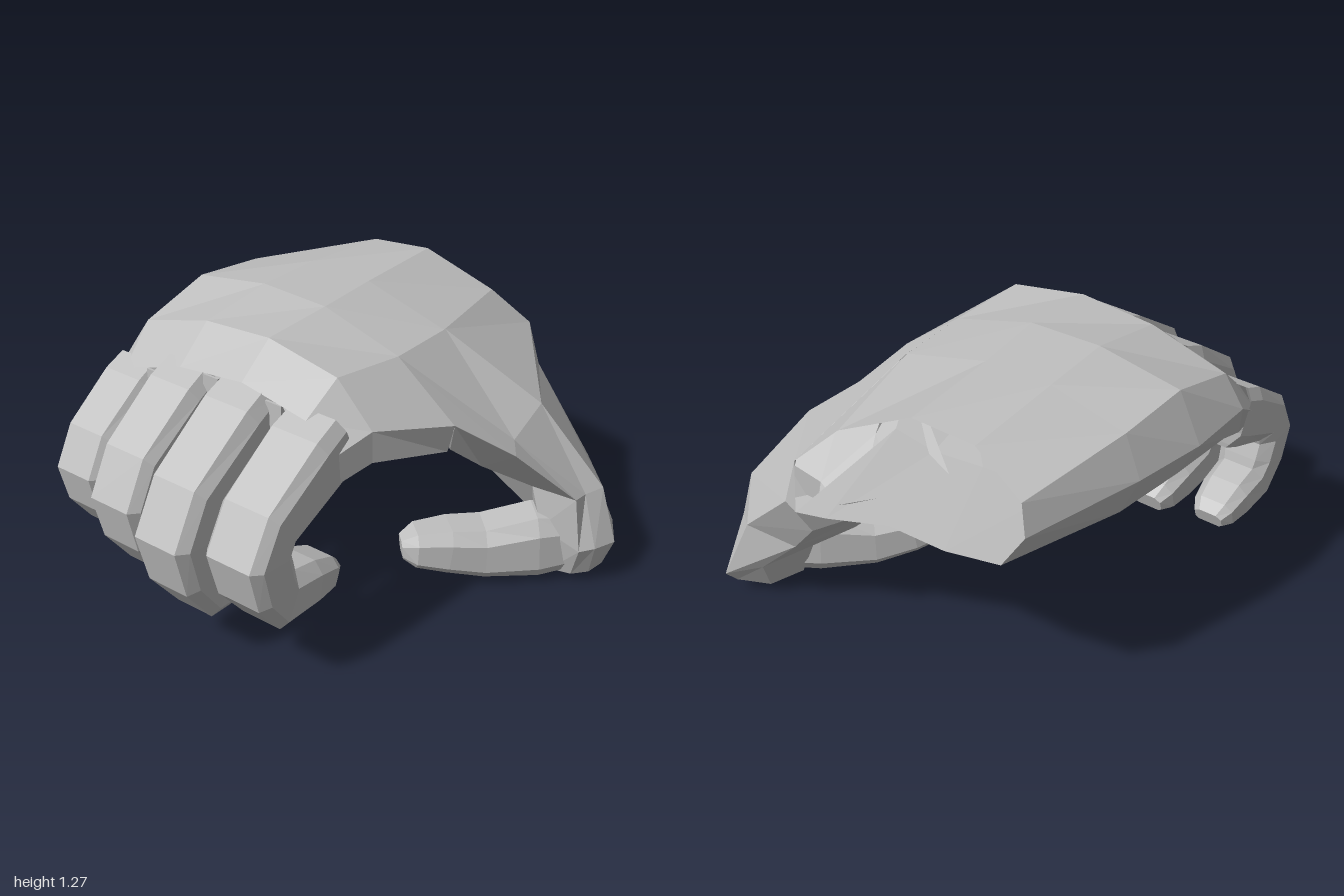
import * as THREE from 'three';

const skin = new THREE.MeshStandardMaterial({ color: 0xbfbfbf, flatShading: true, side: THREE.DoubleSide });
skin.name = 'plain grey';

// Skin a list of closed point loops; isOpen(i, j) leaves faces out, capEnd closes the last loop
function loft(name, rings, capEnd, isOpen = () => false) {
  const pos = [];
  const tri = (a, b, c) => pos.push(...a, ...b, ...c);
  const n = rings[0].length;
  for (let i = 0; i < rings.length - 1; i++) {
    for (let j = 0; j < n; j++) {
      if (isOpen(i, j)) continue;
      const k = (j + 1) % n;
      const a = rings[i], b = rings[i + 1];
      tri(a[j], b[j], a[k]);
      tri(a[k], b[j], b[k]);
    }
  }
  if (capEnd) {
    const r = rings[rings.length - 1];
    const c = [0, 1, 2].map((k) => r.reduce((s, p) => s + p[k], 0) / n);
    for (let j = 0; j < n; j++) tri(c, r[(j + 1) % n], r[j]);
  }
  const g = new THREE.BufferGeometry();
  g.setAttribute('position', new THREE.Float32BufferAttribute(pos, 3));
  g.computeVertexNormals();
  const m = new THREE.Mesh(g, skin);
  m.name = name;
  return m;
}

// Digit section: flat on the back, rounder on the palm side
const section = [[1, 0.5], [0.62, 1], [-0.62, 1], [-1, 0.5], [-1, -0.65], [-0.75, -1], [0.75, -1], [1, -0.65]];

// Sections along a path of [x, y, z, half height, half width]
function digit(name, path) {
  const pts = path.map((p) => new THREE.Vector3(p[0], p[1], p[2]));
  const flat = pts.every((p) => p.z === pts[0].z);
  const up = new THREE.Vector3(0, 1, 0);
  const rings = path.map((p, i) => {
    const d = pts[Math.min(i + 1, pts.length - 1)].clone().sub(pts[Math.max(i - 1, 0)]).normalize();
    const u = flat ? new THREE.Vector3(0, 0, 1) : d.clone().cross(up).normalize();
    const v = u.clone().cross(d);
    return section.map(([a, b]) => pts[i].clone()
      .addScaledVector(u, a * p[4]).addScaledVector(v, b * p[3]).toArray());
  });
  return loft(name, rings, true);
}

export function createModel() {
  const hand = new THREE.Group();
  hand.name = 'hand';

  // Palm: hollow shell from the knuckles to the open wrist; sections are [z, y].
  // Its side is left open where the thumb base joins on.
  const at = (x, s) => s.map(([z, y]) => [x, y, z]);
  hand.add(loft('palm', [
    at(-0.47, [[0.29, 0.95], [0.15, 1.06], [-0.17, 1.12], [-0.5, 1.08], [-0.82, 0.97], [-0.91, 0.88],
      [-0.84, 0.75], [-0.5, 0.73], [-0.15, 0.73], [0.15, 0.73], [0.29, 0.82]]),
    at(-0.3, [[0.34, 1.0], [0.17, 1.18], [-0.17, 1.245], [-0.5, 1.22], [-0.84, 1.12], [-0.93, 0.99],
      [-0.86, 0.82], [-0.5, 0.75], [-0.15, 0.74], [0.15, 0.74], [0.34, 0.86]]),
    at(0.03, [[0.5, 0.93], [0.22, 1.15], [-0.15, 1.26], [-0.47, 1.27], [-0.83, 1.21], [-0.93, 1.0],
      [-0.84, 0.83], [-0.5, 0.77], [-0.15, 0.75], [0.15, 0.74], [0.47, 0.8]]),
    at(0.35, [[0.25, 1.02], [0.22, 1.14], [-0.17, 1.25], [-0.47, 1.26], [-0.8, 1.18], [-0.87, 1.0],
      [-0.79, 0.82], [-0.5, 0.78], [-0.15, 0.75], [0.1, 0.72], [0.3, 0.75]]),
    [[0.96, 0.95, 0.27], [0.87, 1.1, 0.12], [0.8, 1.24, -0.18], [0.78, 1.22, -0.45], [0.83, 1.11, -0.69],
      [0.85, 0.98, -0.72], [0.87, 0.83, -0.63], [0.88, 0.78, -0.38], [0.86, 0.75, -0.1],
      [0.94, 0.72, 0.15], [0.98, 0.72, 0.27]],
  ], false, (i, j) => (i >= 2 && j === 10) || (i === 2 && j === 0)));

  // Fingers: one curled profile [x, y, half height, half width], rescaled from its knuckle
  const curl = [
    [-0.36, 0.965, 0.17, 0.135], [-0.48, 0.91, 0.175, 0.14], [-0.785, 0.745, 0.14, 0.135],
    [-0.855, 0.62, 0.145, 0.135], [-0.815, 0.46, 0.14, 0.13], [-0.74, 0.34, 0.135, 0.12],
    [-0.55, 0.315, 0.11, 0.115], [-0.42, 0.285, 0.08, 0.1], [-0.36, 0.265, 0.045, 0.07],
  ];
  for (const [name, z, baseY, sx, sy, w] of [
    ['indexFinger', 0.15, 0.94, 0.92, 0.87, 1.05],
    ['middleFinger', -0.175, 0.965, 1, 1, 1.03],
    ['ringFinger', -0.495, 0.955, 0.88, 0.92, 0.98],
    ['littleFinger', -0.795, 0.895, 0.74, 0.77, 0.9],
  ]) {
    hand.add(digit(name, curl.map(([x, y, h, hw]) =>
      [-0.36 + (x + 0.36) * sx, baseY + (y - 0.965) * sy, z, h * (sx + sy) / 2, hw * w])));
  }

  // Webs of skin closing the palm between neighbouring fingers
  for (const [z, top] of [[-0.013, 1.08], [-0.337, 1.09], [-0.652, 1.01]]) {
    const web = new THREE.Mesh(new THREE.BoxGeometry(0.01, top - 0.73, 0.08), skin);
    web.position.set(-0.465, (top + 0.73) / 2, z);
    web.name = 'fingerWeb';
    hand.add(web);
  }

  // Thumb base: web of skin narrowing from the side of the palm to the thumb joint
  hand.add(loft('thumbBase', [
    [[0.36, 1.14, 0.22], [0.03, 1.15, 0.22], [0.03, 0.93, 0.5], [0.05, 0.8, 0.47],
      [0.5, 0.735, -0.12], [0.98, 0.72, 0.27], [0.96, 0.95, 0.27]],
    [[0.55, 0.83, 0.59], [0.33, 0.76, 0.6], [0.25, 0.74, 0.66], [0.28, 0.61, 0.48],
      [0.53, 0.57, 0.14], [0.92, 0.6, 0.25], [0.98, 0.75, 0.32]],
    [[0.66, 0.46, 0.86], [0.58, 0.45, 0.82], [0.5, 0.46, 0.82], [0.51, 0.44, 0.6],
      [0.6, 0.38, 0.33], [0.86, 0.4, 0.42], [0.9, 0.43, 0.65]],
    [[0.66, 0.21, 0.94], [0.56, 0.21, 0.9], [0.51, 0.2, 0.85], [0.5, 0.26, 0.66],
      [0.64, 0.22, 0.54], [0.87, 0.2, 0.62], [0.93, 0.12, 0.79]],
    [[0.68, 0.06, 0.88], [0.6, 0.05, 0.86], [0.55, 0.04, 0.8], [0.54, 0.03, 0.7],
      [0.64, 0.03, 0.62], [0.8, 0.04, 0.66], [0.88, 0.06, 0.78]],
    [[0.68, 0.01, 0.8], [0.65, 0.005, 0.8], [0.62, 0.0, 0.77], [0.62, 0.0, 0.73],
      [0.65, 0.0, 0.7], [0.7, 0.005, 0.72], [0.72, 0.01, 0.76]],
  ].map((r) => r.reverse()), true));

  // Thumb tip: bends back beneath the palm
  hand.add(digit('thumbTip', [
    [0.62, 0.18, 0.72, 0.13, 0.1], [0.52, 0.18, 0.62, 0.145, 0.12], [0.36, 0.16, 0.45, 0.115, 0.12],
    [0.24, 0.185, 0.34, 0.1, 0.115], [0.13, 0.2, 0.25, 0.08, 0.09], [0.09, 0.195, 0.21, 0.045, 0.05],
  ]));

  return hand;
}
